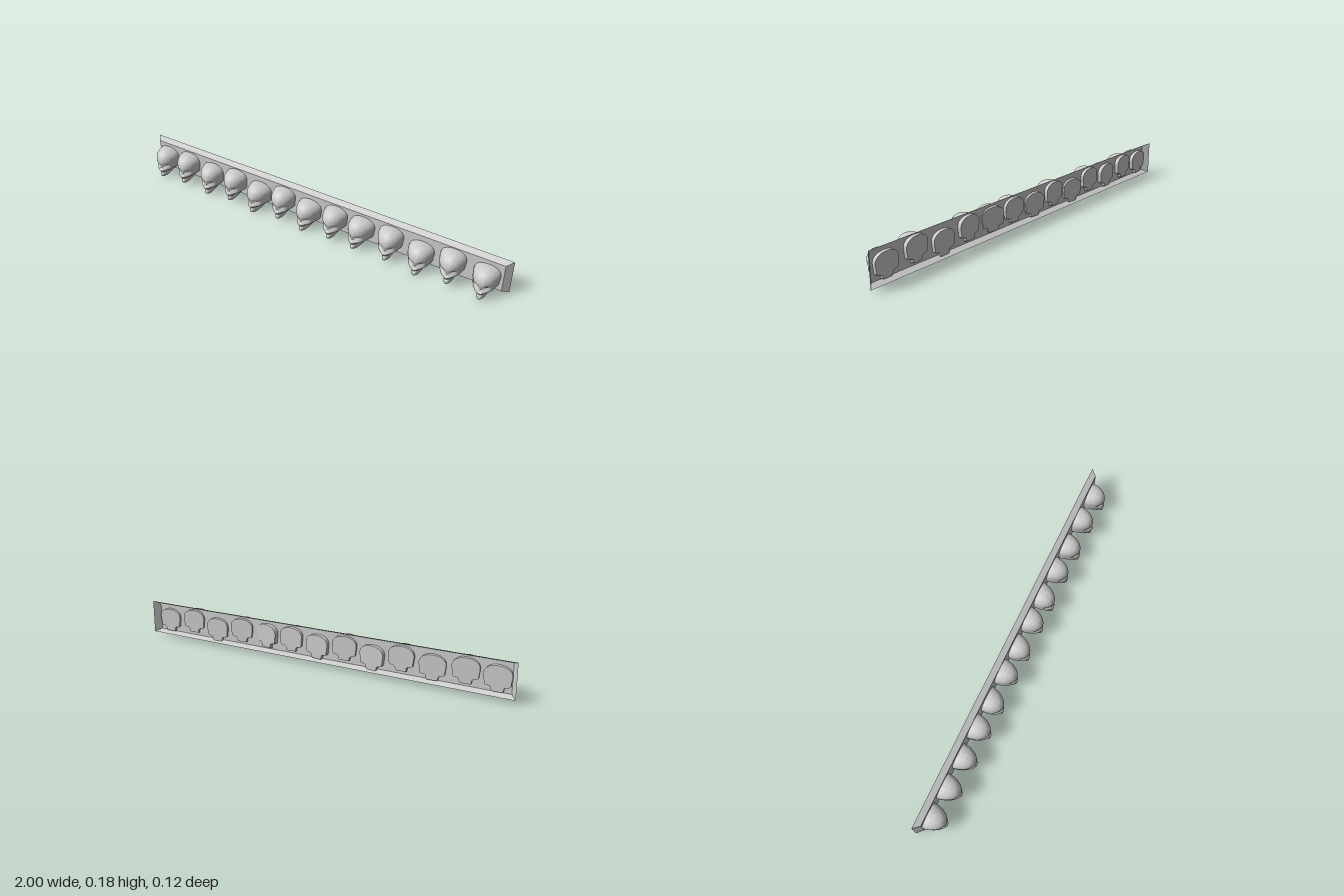
import * as THREE from 'three';
import { toCreasedNormals } from 'three/addons/utils/BufferGeometryUtils.js';

const grey = new THREE.MeshStandardMaterial({ color: 0xcccccc, side: THREE.DoubleSide });
const BACK = -0.045; // flat back of each skull

// Skull levels from chin to crown: half width, height, front z
const LEVELS = [
  [0.021, 0, 0.048], [0.026, 0.005, 0.054], [0.028, 0.02, 0.053], [0.028, 0.026, 0.048],
  [0.031, 0.03, 0.054], [0.034, 0.037, 0.059], [0.053, 0.043, 0.057], [0.058, 0.052, 0.054],
  [0.059, 0.065, 0.053], [0.061, 0.08, 0.056], [0.063, 0.095, 0.055], [0.062, 0.11, 0.051],
  [0.055, 0.126, 0.04], [0.042, 0.139, 0.021], [0.025, 0.147, 0.003], [0.006, 0.15, -0.012],
];

// Soft dent centred on (cx, cy)
const dent = (x, y, cx, cy, rx, ry, depth) =>
  depth * Math.exp(-(((x - cx) / rx) ** 2) - ((y - cy) / ry) ** 2);

function skullGeometry() {
  const curve = new THREE.CatmullRomCurve3(LEVELS.map((p) => new THREE.Vector3(...p)));
  const rows = 46, cols = 28, ring = cols + 1;
  const pos = [], idx = [];
  for (let j = 0; j <= rows; j++) {
    const { x: w, y: h, z: front } = curve.getPoint(j / rows);
    for (let i = 0; i <= cols; i++) {
      const a = (Math.PI * i) / cols;
      const x = w * Math.cos(a), s = Math.sin(a);
      let z = BACK + (front - BACK) * s;
      // the jaw rises and the crown drops towards the back
      const back = THREE.MathUtils.clamp((0.03 - z) / 0.075, 0, 1);
      const y = h + back * (0.024 * Math.max(0, 1 - h / 0.06) - 0.009 * Math.max(0, (h - 0.11) / 0.04));
      // eye sockets and nose
      z -= s * (dent(Math.abs(x), h, 0.024, 0.066, 0.013, 0.01, 0.014) + dent(x, h, 0, 0.053, 0.006, 0.008, 0.008));
      pos.push(x, y, z);
    }
  }
  for (let j = 0; j < rows; j++) {
    for (let i = 0; i < ring; i++) {
      const a = j * ring + i, b = j * ring + ((i + 1) % ring);
      idx.push(b, a, a + ring, b, a + ring, b + ring);
    }
  }
  const top = rows * ring;
  for (let i = 1; i < cols; i++) idx.push(0, i, i + 1, top, top + i + 1, top + i);
  const geo = new THREE.BufferGeometry();
  geo.setAttribute('position', new THREE.Float32BufferAttribute(pos, 3));
  geo.setIndex(idx);
  return toCreasedNormals(geo, 0.8);
}

// Shallow bevelled tray, open at the back
function plateGeometry() {
  const geo = new THREE.BoxGeometry(2, 0.168, 0.03);
  geo.setIndex(Array.from(geo.index.array).slice(0, 30));
  geo.clearGroups();
  const p = geo.attributes.position;
  for (let i = 0; i < p.count; i++) {
    if (p.getZ(i) > 0) p.setXY(i, p.getX(i) * 0.973, p.getY(i) * 0.84);
  }
  geo.computeVertexNormals();
  return geo;
}

export function createModel() {
  const model = new THREE.Group();
  model.name = 'skullFrieze';

  const plate = new THREE.Mesh(plateGeometry(), grey);
  plate.name = 'backPlate';
  plate.position.set(0, 0.1, -0.045);
  model.add(plate);

  // Skulls: x, crown height, turn
  const skulls = [
    [-0.91, 0.16, 0.05], [-0.765, 0.17, 0.08], [-0.61, 0.157, 0.08], [-0.46, 0.172, 0.02],
    [-0.315, 0.15, -0.1], [-0.165, 0.172, 0.05], [-0.02, 0.155, -0.1], [0.13, 0.17, 0],
    [0.27, 0.165, -0.17], [0.43, 0.17, 0.08], [0.585, 0.15, 0.05], [0.74, 0.173, 0.08], [0.9, 0.158, 0.05],
  ];
  const geo = skullGeometry();
  skulls.forEach(([x, crown, turn], i) => {
    const skull = new THREE.Mesh(geo, grey);
    skull.name = `skull${i + 1}`;
    skull.position.set(x, crown - 0.15, 0);
    skull.rotation.y = turn;
    model.add(skull);
  });
  return model;
}
